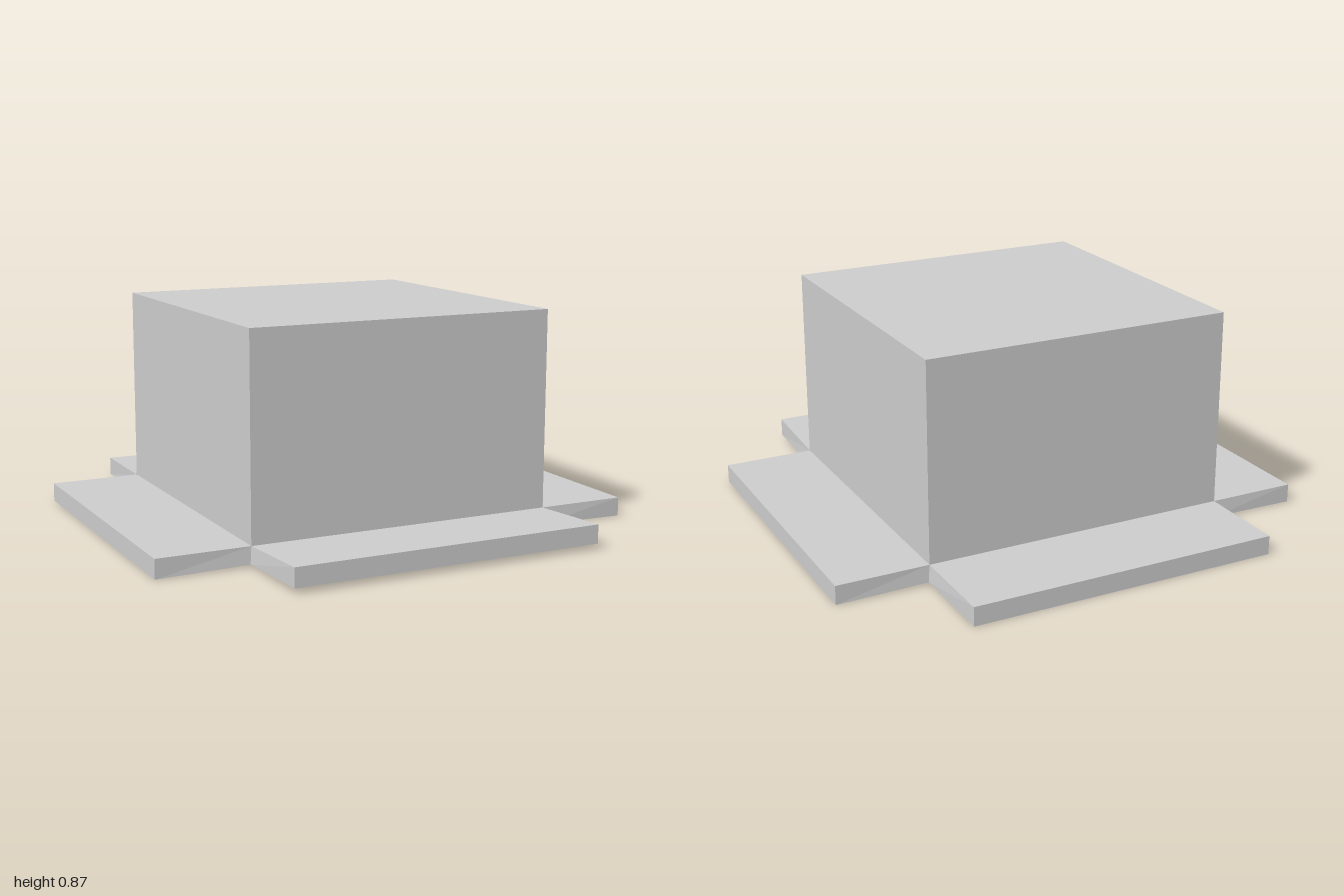
import * as THREE from 'three';

const HALF = 0.63; // half width of the box
const OPENING = 0.636; // half width of the opening underneath
const FLAP_TOP = 0.076;
const FLAP_BOTTOM = 0.009; // underside at the hinge

// Unshared corners give crisp flat faces
function crisp(geometry) {
  const g = geometry.toNonIndexed();
  g.computeVertexNormals();
  return g;
}

// Square surface turned from a [half width, height] profile
function squareLathe(profile) {
  const points = profile.map(([r, y]) => new THREE.Vector2(r * Math.SQRT2, y));
  return crisp(new THREE.LatheGeometry(points, 4, Math.PI / 4));
}

// Flap running out along +z, its underside flaring at the hinge, open where it joins the box
function flapGeometry({ bottom, top }) {
  const g = new THREE.BoxGeometry(1, 1, 1);
  g.setIndex(Array.from(g.index.array.slice(0, 30))); // the last face is the hinge side
  const p = g.attributes.position;
  for (let i = 0; i < p.count; i++) {
    const outer = p.getZ(i) > 0;
    const upper = p.getY(i) > 0;
    const y = upper ? (outer ? top : FLAP_TOP) : (outer ? bottom : FLAP_BOTTOM);
    const hinge = upper ? HALF : OPENING;
    p.setXYZ(i, Math.sign(p.getX(i)) * (outer ? HALF : hinge), y, outer ? 1 : hinge);
  }
  return crisp(g);
}

export function createModel() {
  const model = new THREE.Group();
  model.name = 'openBox';
  const grey = new THREE.MeshStandardMaterial({ color: 0xcccccc });
  grey.name = 'cardGrey';

  const add = (name, geometry) => {
    const mesh = new THREE.Mesh(geometry, grey);
    mesh.name = name;
    model.add(mesh);
    return mesh;
  };

  // Walls and roof above the flaps, and the tapered lining seen from underneath
  add('outerWalls', squareLathe([[HALF, FLAP_TOP], [HALF, 0.87], [0, 0.87]]));
  add('innerLining', squareLathe([[0, 0.674], [0.595, 0.674], [OPENING, FLAP_BOTTOM]]));

  // Three level flaps, and a front one lifted a little at its tip
  const level = { bottom: 0, top: FLAP_TOP };
  const raised = { bottom: 0.021, top: 0.096 };
  const flaps = [['frontFlap', raised], ['leftFlap', level], ['backFlap', level], ['rightFlap', level]];
  flaps.forEach(([name, heights], i) => {
    add(name, flapGeometry(heights)).rotation.y = i * Math.PI / 2;
  });
  return model;
}
